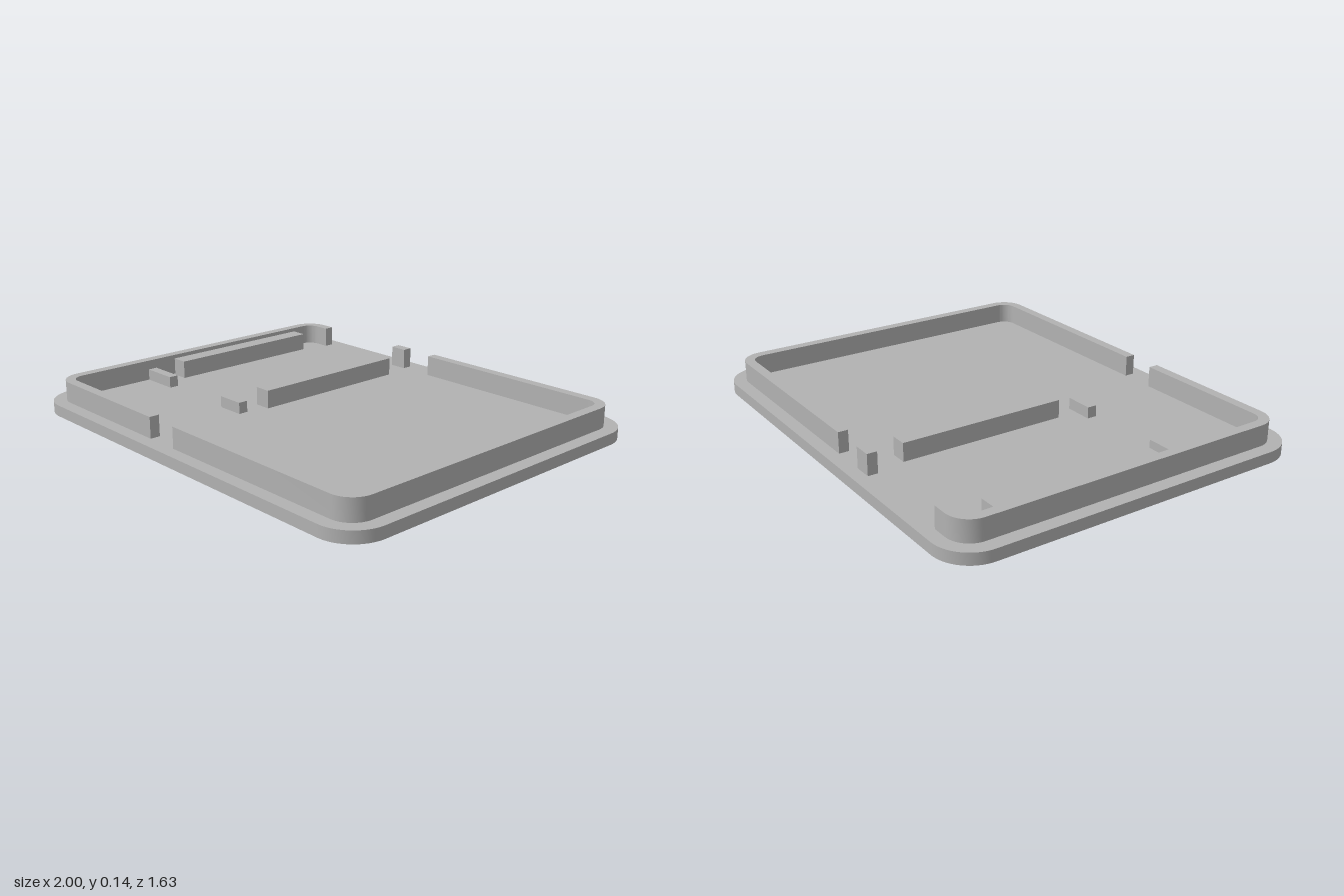
import * as THREE from 'three';
import { toCreasedNormals } from 'three/addons/utils/BufferGeometryUtils.js';

const BASE = 0.05; // thickness of the base plate

export function createModel() {
  const group = new THREE.Group();
  const grey = new THREE.MeshStandardMaterial({ color: 0xb2b2b2 });
  grey.name = 'grey plastic';

  const add = (name, geometry) => {
    const mesh = new THREE.Mesh(geometry, grey);
    mesh.name = name;
    group.add(mesh);
  };

  // Raises a plan outline (shape y = -z) from one height to another
  const raise = (name, shape, y0, y1) => {
    const geo = new THREE.ExtrudeGeometry(shape, { depth: y1 - y0, bevelEnabled: false, curveSegments: 12 });
    geo.rotateX(-Math.PI / 2).translate(0, y0, 0);
    add(name, toCreasedNormals(geo, Math.PI / 6));
  };

  // Box standing on the base, given by its plan edges and top height
  const block = (name, x0, x1, z0, z1, top) => {
    const geo = new THREE.BoxGeometry(x1 - x0, top - BASE, z1 - z0);
    geo.translate((x0 + x1) / 2, (top + BASE) / 2, (z0 + z1) / 2);
    add(name, geo);
  };

  // Base plate with rounded corners
  const X = 1, Z = 0.815, R = 0.16, H = Math.PI / 2;
  const plate = new THREE.Shape();
  plate.absarc(X - R, Z - R, R, 0, H);
  plate.absarc(-X + R, Z - R, R, H, 2 * H);
  plate.absarc(-X + R, -Z + R, R, 2 * H, 3 * H);
  plate.absarc(X - R, -Z + R, R, 3 * H, 4 * H);
  plate.closePath();
  raise('basePlate', plate, 0, BASE);

  // C-shaped rim section wrapping one side; outer and inner corners share centres
  const rim = (name, side, frontEnd, backEnd) => {
    const cx = 0.84, cz = 0.657, ro = 0.1, ri = 0.056;
    const outline = [];
    const corner = (r, zSign, reverse) => {
      const pts = [];
      for (let i = 0; i <= 12; i++) {
        const a = (i / 12) * H;
        pts.push(new THREE.Vector2(side * (cx + r * Math.sin(a)), zSign * (cz + r * Math.cos(a))));
      }
      outline.push(...(reverse ? pts.reverse() : pts));
    };
    outline.push(new THREE.Vector2(frontEnd, -cz - ro));
    corner(ro, -1, false);
    corner(ro, 1, true);
    outline.push(new THREE.Vector2(backEnd, cz + ro), new THREE.Vector2(backEnd, cz + ri));
    corner(ri, 1, false);
    corner(ri, -1, true);
    outline.push(new THREE.Vector2(frontEnd, -cz - ri));
    raise(name, new THREE.Shape(outline), BASE, 0.142);
  };
  rim('leftRim', 1, -0.06, -0.06);
  rim('rightRim', -1, -0.215, -0.775);
  block('backRimTab', -0.295, -0.215, -0.757, -0.713, 0.142);

  // Long support rails and the short stops in front of them
  for (const x of [-0.88, -0.265]) block('supportRail', x, x + 0.075, -0.585, 0.167, 0.13);
  block('rightStop', -0.895, -0.725, 0.262, 0.305, 0.1);
  block('leftStop', -0.342, -0.215, 0.262, 0.305, 0.1);

  return group;
}
